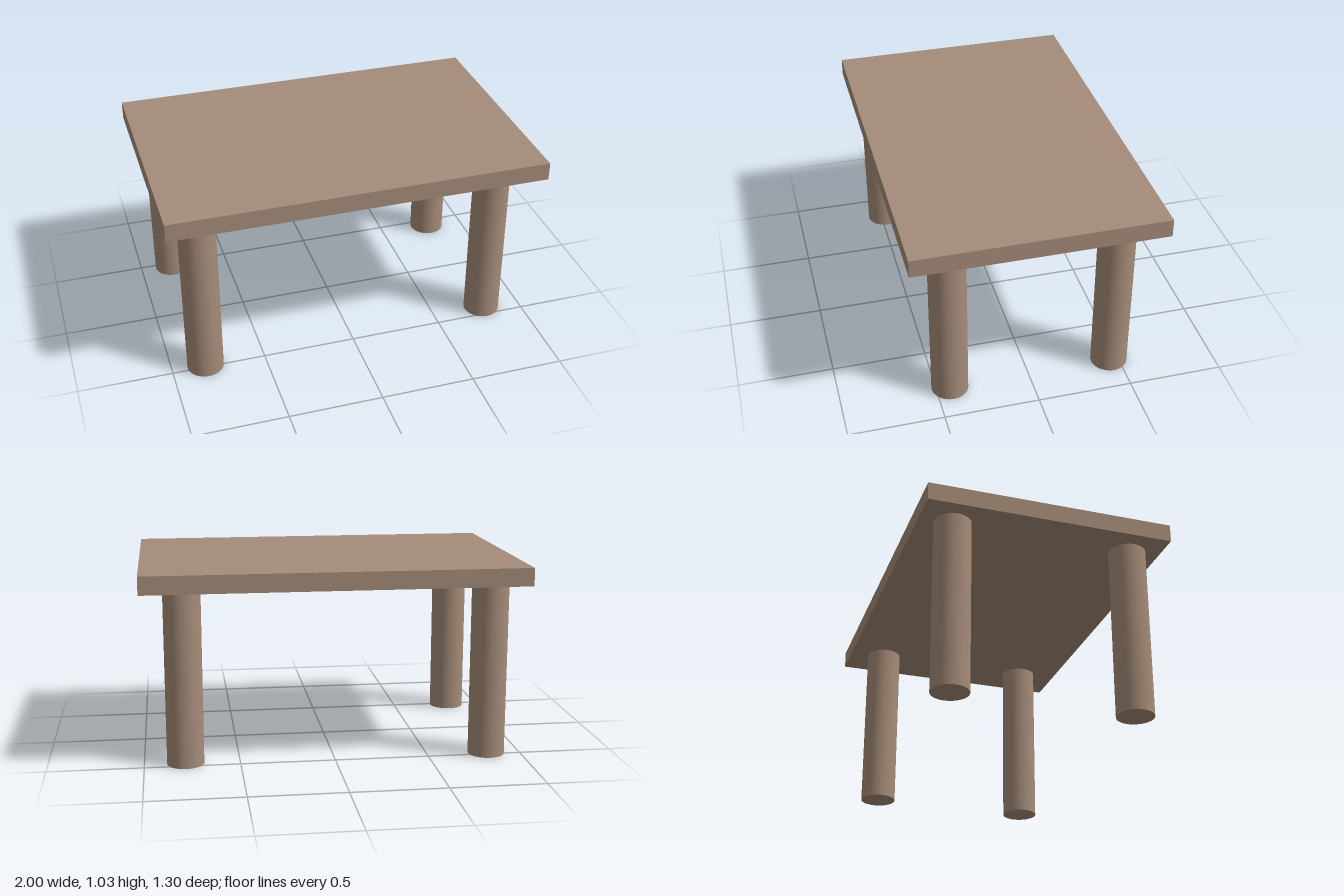
import * as THREE from 'three';

export function createModel() {
  const group = new THREE.Group();
  const wood = new THREE.MeshStandardMaterial({ color: 0xa58c79 });
  const legHeight = 0.935, topThickness = 0.095, legRadius = 0.097;

  // Flat slab top
  const tabletop = new THREE.Mesh(new THREE.BoxGeometry(2, topThickness, 1.3), wood);
  tabletop.name = 'tabletop';
  tabletop.position.y = legHeight + topThickness / 2;
  group.add(tabletop);

  // Round legs, set slightly unevenly
  const legGeometry = new THREE.CylinderGeometry(legRadius, legRadius, legHeight, 48);
  const legs = [
    ['frontLeftLeg', 0.785, 0.426],
    ['backLeftLeg', 0.785, -0.45],
    ['frontRightLeg', -0.82, 0.48],
    ['backRightLeg', -0.82, -0.473],
  ];
  for (const [name, x, z] of legs) {
    const leg = new THREE.Mesh(legGeometry, wood);
    leg.name = name;
    leg.position.set(x, legHeight / 2, z);
    group.add(leg);
  }
  return group;
}
